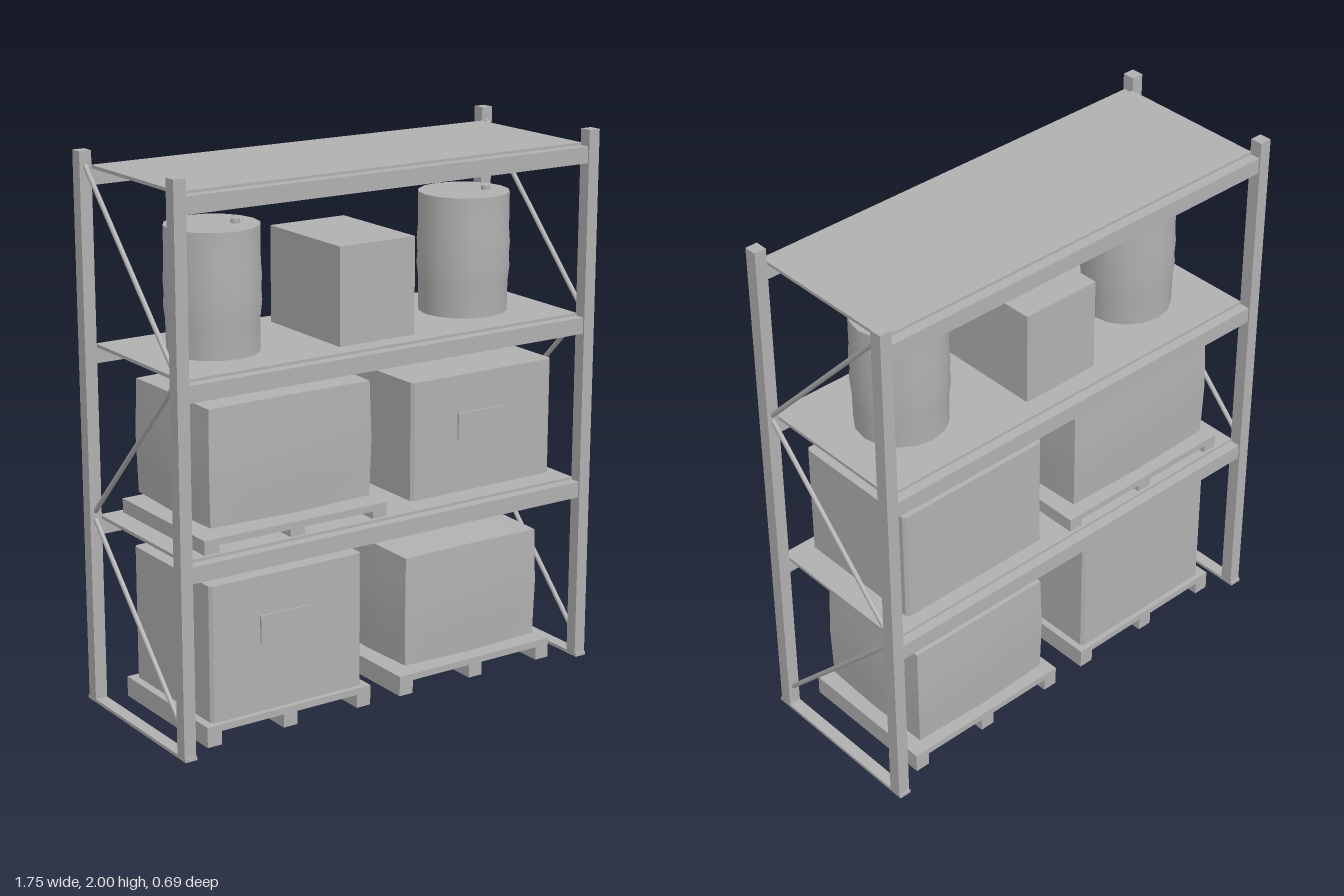
import * as THREE from 'three';
import { toCreasedNormals } from 'three/addons/utils/BufferGeometryUtils.js';

const grey = new THREE.MeshStandardMaterial({ color: 0xb0b0b0 });
grey.name = 'warehouse grey';

function add(parent, name, geometry) {
  const mesh = new THREE.Mesh(geometry, grey);
  mesh.name = name;
  parent.add(mesh);
  return mesh;
}

// Box given by its minimum and maximum on each axis
function block(parent, name, x0, x1, y0, y1, z0, z1) {
  const mesh = add(parent, name, new THREE.BoxGeometry(x1 - x0, y1 - y0, z1 - z0));
  mesh.position.set((x0 + x1) / 2, (y0 + y1) / 2, (z0 + z1) / 2);
  return mesh;
}

function group(parent, name) {
  const g = new THREE.Group();
  g.name = name;
  parent.add(g);
  return g;
}

// Thin round bar between two points
function rod(parent, name, a, b, radius) {
  const mesh = add(parent, name, new THREE.CylinderGeometry(radius, radius, a.distanceTo(b), 8));
  mesh.position.copy(a).add(b).multiplyScalar(0.5);
  mesh.quaternion.setFromUnitVectors(new THREE.Vector3(0, 1, 0), b.clone().sub(a).normalize());
}

// Deck board on three skids
function pallet(parent, x0, x1, y) {
  const g = group(parent, 'pallet');
  block(g, 'palletDeck', x0, x1, y + 0.05, y + 0.075, -0.28, 0.28);
  const w = 0.058;
  for (const x of [x0, (x0 + x1 - w) / 2, x1 - w]) {
    block(g, 'palletSkid', x, x + w, y, y + 0.05, -0.28, 0.28);
  }
}

// Crate with narrow chamfers on its upright corners and a plate on the front
function crate(parent, x0, x1, y0, y1, labelY) {
  const g = group(parent, 'crate');
  const w = (x1 - x0) / 2, d = 0.26, c = 0.011;
  const outline = new THREE.Shape([
    [-w + c, -d], [w - c, -d], [w, -d + c], [w, d - c],
    [w - c, d], [-w + c, d], [-w, d - c], [-w, -d + c],
  ].map(([x, z]) => new THREE.Vector2(x, z)));
  const geo = new THREE.ExtrudeGeometry(outline, { depth: y1 - y0, bevelEnabled: false });
  geo.rotateX(-Math.PI / 2);
  add(g, 'crateBody', geo).position.set((x0 + x1) / 2, y0, 0);
  block(g, 'cratePlate', x0 + 0.2, x0 + 0.4, labelY, labelY + 0.1, 0.259, 0.267);
}

// Wrapped load whose faces swell a little at the middle
function bundle(parent, x0, x1, y0, y1) {
  const half = [(x1 - x0) / 2, (y1 - y0) / 2, 0.26];
  const geo = new THREE.BoxGeometry(2, 2, 2, 4, 4, 4);
  const p = geo.attributes.position;
  for (let i = 0; i < p.count; i++) {
    const v = [p.getX(i), p.getY(i), p.getZ(i)];
    const out = v.map((s, k) => {
      const a = Math.abs(v[(k + 1) % 3]), b = Math.abs(v[(k + 2) % 3]);
      const swell = 0.3 * (1 - a) + 0.3 * (1 - b) + 0.4 * (1 - a) * (1 - b);
      return s * (half[k] - 0.016 * (1 - swell));
    });
    p.setXYZ(i, ...out);
  }
  add(parent, 'wrappedLoad', toCreasedNormals(geo, 0.6))
    .position.set((x0 + x1) / 2, (y0 + y1) / 2, 0);
}

// Ribbed drum with a bung on its lid
function drum(parent, x) {
  const g = group(parent, 'drum');
  const profile = [
    [0, 0], [0.163, 0], [0.165, 0.14], [0.171, 0.19], [0.168, 0.23],
    [0.171, 0.28], [0.167, 0.33], [0.167, 0.462], [0, 0.462],
  ].map(([r, y]) => new THREE.Vector2(r, y));
  add(g, 'drumBody', toCreasedNormals(new THREE.LatheGeometry(profile, 16), 0.7));
  const bung = add(g, 'drumBung', new THREE.CylinderGeometry(0.017, 0.017, 0.03, 10));
  bung.position.set(0.072, 0.463, 0.035);
  g.position.set(x, 1.302, 0);
}

export function createModel() {
  const model = new THREE.Group();
  model.name = 'loadedPalletRack';

  // End frames: posts, foot rails and diagonal braces
  for (const side of [-1, 1]) {
    const frame = group(model, side > 0 ? 'leftFrame' : 'rightFrame');
    const x = side * 0.853;
    for (const z of [-0.313, 0.313]) {
      block(frame, 'post', x - 0.023, x + 0.023, 0, 2, z - 0.024, z + 0.024);
    }
    block(frame, 'footRail', x - 0.023, x + 0.023, 0, 0.012, -0.344, 0.344);
    for (const [yFront, yBack] of [[0.09, 0.69], [1.32, 0.72], [1.34, 1.95]]) {
      rod(frame, 'brace', new THREE.Vector3(x, yFront, 0.292),
        new THREE.Vector3(x, yBack, -0.292), 0.009);
    }
  }

  // Shelves: thin deck between front and back beams
  for (const y of [0.7, 1.325, 1.95]) {
    const shelf = group(model, 'shelf');
    block(shelf, 'shelfDeck', -0.83, 0.83, y - 0.012, y, -0.292, 0.292);
    for (const z of [-0.311, 0.311]) {
      block(shelf, 'beam', -0.83, 0.83, y - 0.07, y - 0.01, z - 0.02, z + 0.02);
    }
  }

  // Floor level
  pallet(model, -0.75, -0.07, 0);
  pallet(model, 0.06, 0.745, 0);
  crate(model, -0.72, -0.095, 0.075, 0.575, 0.33);
  bundle(model, 0.093, 0.712, 0.08, 0.523);

  // Middle level
  pallet(model, -0.75, -0.003, 0.677);
  bundle(model, -0.72, -0.036, 0.762, 1.21);
  crate(model, 0.12, 0.745, 0.725, 1.16, 0.92);

  // Upper level
  drum(model, -0.534);
  drum(model, 0.53);
  block(model, 'carton', -0.16, 0.155, 1.302, 1.677, -0.22, 0.22);

  return model;
}
